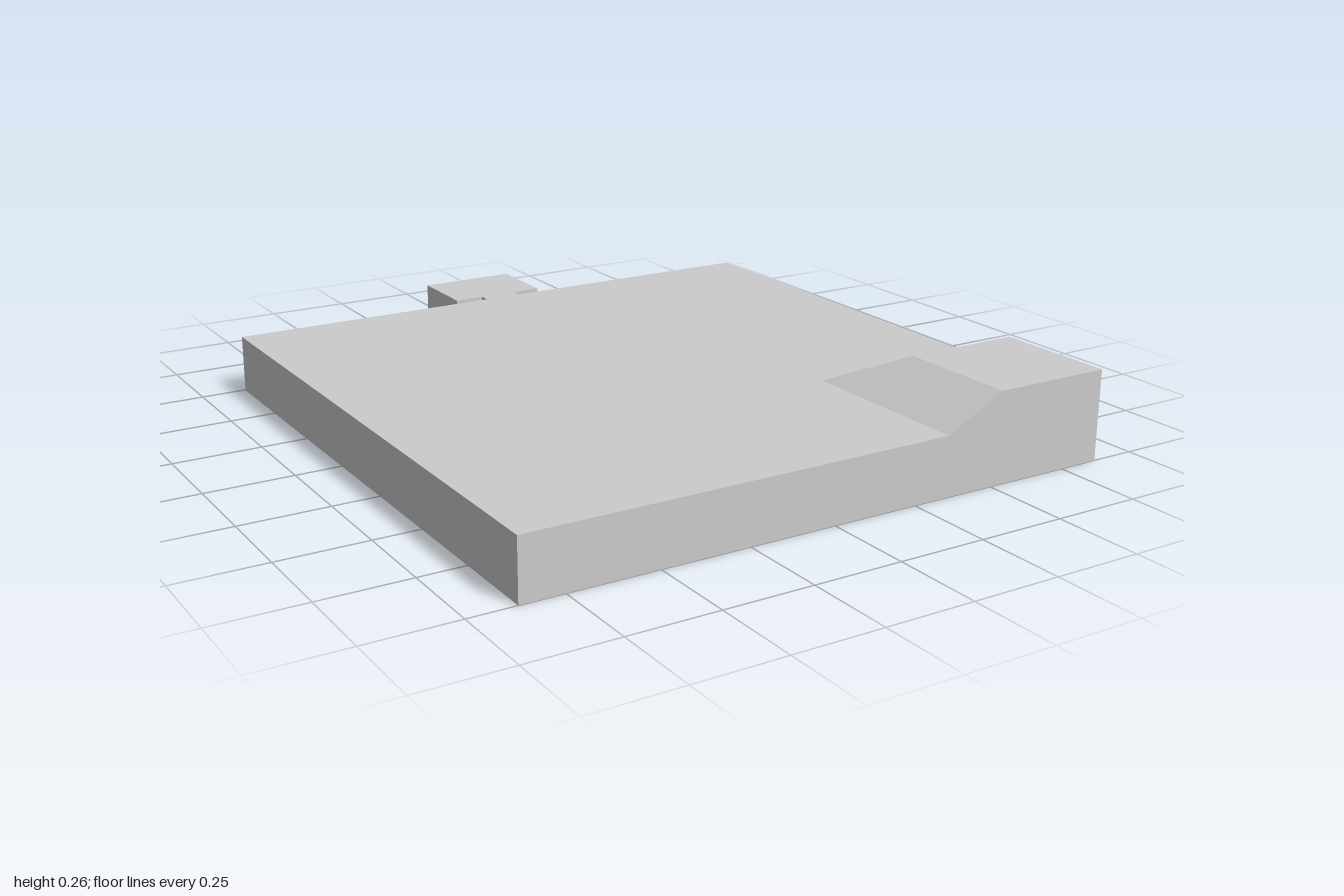
import * as THREE from 'three';

const HALF = 0.87, BACK = -0.745, FRONT = 1, THICK = 0.167;

export function createModel() {
  const group = new THREE.Group();
  const material = new THREE.MeshStandardMaterial({ color: 0xcccccc, flatShading: true });
  const add = (name, geometry) => {
    const mesh = new THREE.Mesh(geometry, material);
    mesh.name = name;
    group.add(mesh);
  };

  // Flat tile with a T-shaped connector tab at the back; half outline as [x, z], mirrored
  const half = [[HALF, FRONT], [HALF, BACK], [0.056, BACK], [0.056, -0.78], [0.146, -0.78], [0.146, -1]];
  const outline = [...half, ...half.map(([x, z]) => [-x, z]).reverse()];
  const shape = new THREE.Shape(outline.map(([x, z]) => new THREE.Vector2(x, -z)));
  const tile = new THREE.ExtrudeGeometry(shape, { depth: THICK, bevelEnabled: false });
  add('tileWithConnector', tile.rotateX(-Math.PI / 2));

  // Raised corner: a block whose two inner sides slope down to the tile
  const inner = { x: 0.35, z: 0.478 }, slope = 0.172, top = 0.256;
  const corner = new THREE.BoxGeometry(1, 1, 1);
  const p = corner.attributes.position;
  for (let i = 0; i < p.count; i++) {
    const inset = p.getY(i) > 0 ? slope : 0;
    p.setXYZ(i,
      p.getX(i) > 0 ? HALF : inner.x + inset,
      p.getY(i) > 0 ? top : THICK,
      p.getZ(i) > 0 ? FRONT : inner.z + inset);
  }
  // Leave out the hidden underside
  const index = Array.from(corner.index.array);
  index.splice(18, 6);
  corner.setIndex(index);
  corner.clearGroups();
  corner.computeVertexNormals();
  add('raisedCorner', corner);

  return group;
}
